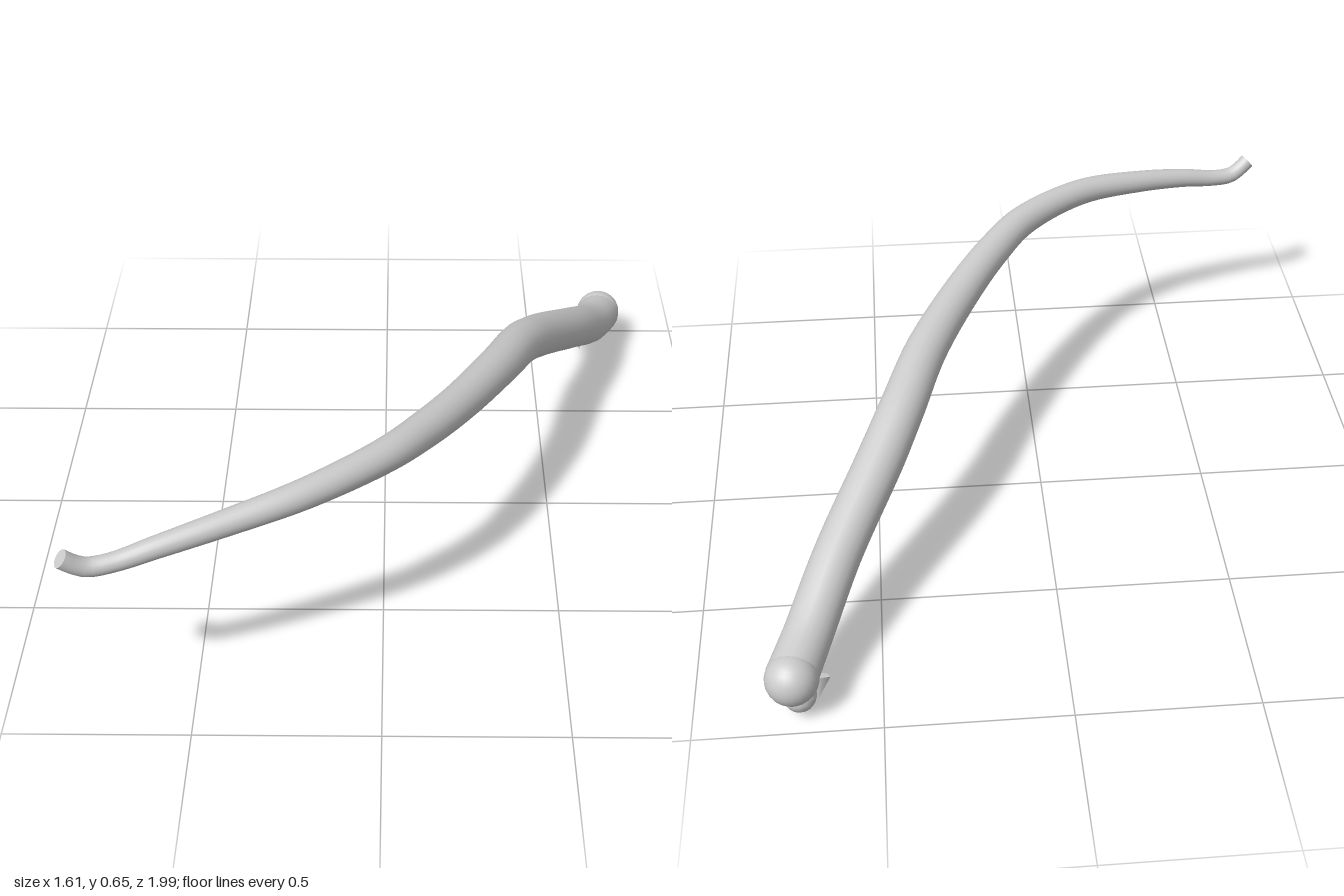
import * as THREE from 'three';

const material = new THREE.MeshStandardMaterial({ color: 0xcccccc, side: THREE.DoubleSide });

// Centre line and radius, from the thin tip to the thick root: x, y, z, r
const KNOTS = [
  [-0.79, 0.574, 0.97, 0.025], [-0.762, 0.549, 0.961, 0.025], [-0.73, 0.532, 0.951, 0.026],
  [-0.67, 0.533, 0.934, 0.026], [-0.56, 0.556, 0.9, 0.03], [-0.4, 0.582, 0.84, 0.035],
  [-0.2, 0.605, 0.745, 0.041], [0, 0.604, 0.58, 0.047], [0.11, 0.584, 0.43, 0.052],
  [0.215, 0.555, 0.25, 0.056], [0.335, 0.513, 0, 0.061], [0.41, 0.46, -0.2, 0.065],
  [0.477, 0.394, -0.35, 0.067], [0.605, 0.265, -0.6, 0.066], [0.69, 0.16, -0.8, 0.067],
  [0.735, 0.124, -0.925, 0.07],
];

function add(group, name, geometry, position = [0, 0, 0]) {
  const mesh = new THREE.Mesh(geometry, material);
  mesh.name = name;
  mesh.position.set(...position);
  group.add(mesh);
  return mesh;
}

// Unit tube whose rings are rescaled to the radius at each station
function taperedTube(segments, sides) {
  const curve = new THREE.CatmullRomCurve3(KNOTS.map(([x, y, z]) => new THREE.Vector3(x, y, z)));
  const geometry = new THREE.TubeGeometry(curve, segments, 1, sides);
  const { position, normal } = geometry.attributes;
  const p = new THREE.Vector3(), n = new THREE.Vector3();
  for (let i = 0; i <= segments; i++) {
    const t = curve.getUtoTmapping(i / segments) * (KNOTS.length - 1);
    const k = Math.min(Math.floor(t), KNOTS.length - 2);
    const radius = THREE.MathUtils.lerp(KNOTS[k][3], KNOTS[k + 1][3], t - k);
    for (let j = 0; j <= sides; j++) {
      const v = i * (sides + 1) + j;
      n.fromBufferAttribute(normal, v);
      p.fromBufferAttribute(position, v).addScaledVector(n, radius - 1);
      position.setXYZ(v, p.x, p.y, p.z);
    }
  }
  return { geometry, curve };
}

export function createModel() {
  const group = new THREE.Group();
  group.name = 'curvedHorn';

  const { geometry, curve } = taperedTube(120, 20);
  add(group, 'shaft', geometry);

  // Flat cut at the thin end
  const tip = add(group, 'tipCap', new THREE.CircleGeometry(0.025, 20), KNOTS[0].slice(0, 3));
  tip.quaternion.setFromUnitVectors(new THREE.Vector3(0, 0, 1), curve.getTangentAt(0).negate());

  // Rounded knob at the root
  add(group, 'rootKnob', new THREE.SphereGeometry(0.072, 24, 16), [0.732, 0.126, -0.926]);

  // Small lump below the knob
  const lump = add(group, 'rootLump', new THREE.SphereGeometry(0.045, 16, 10), [0.716, 0.062, -0.92]);
  lump.scale.set(1, 1, 1.1);

  // Thin torn flake beside the lump
  const flake = add(group, 'rootFlake', new THREE.ConeGeometry(0.026, 0.085, 5), [0.666, 0.043, -0.878]);
  flake.rotation.x = Math.PI;
  flake.rotation.z = -0.15;
  flake.scale.z = 0.4;

  return group;
}
